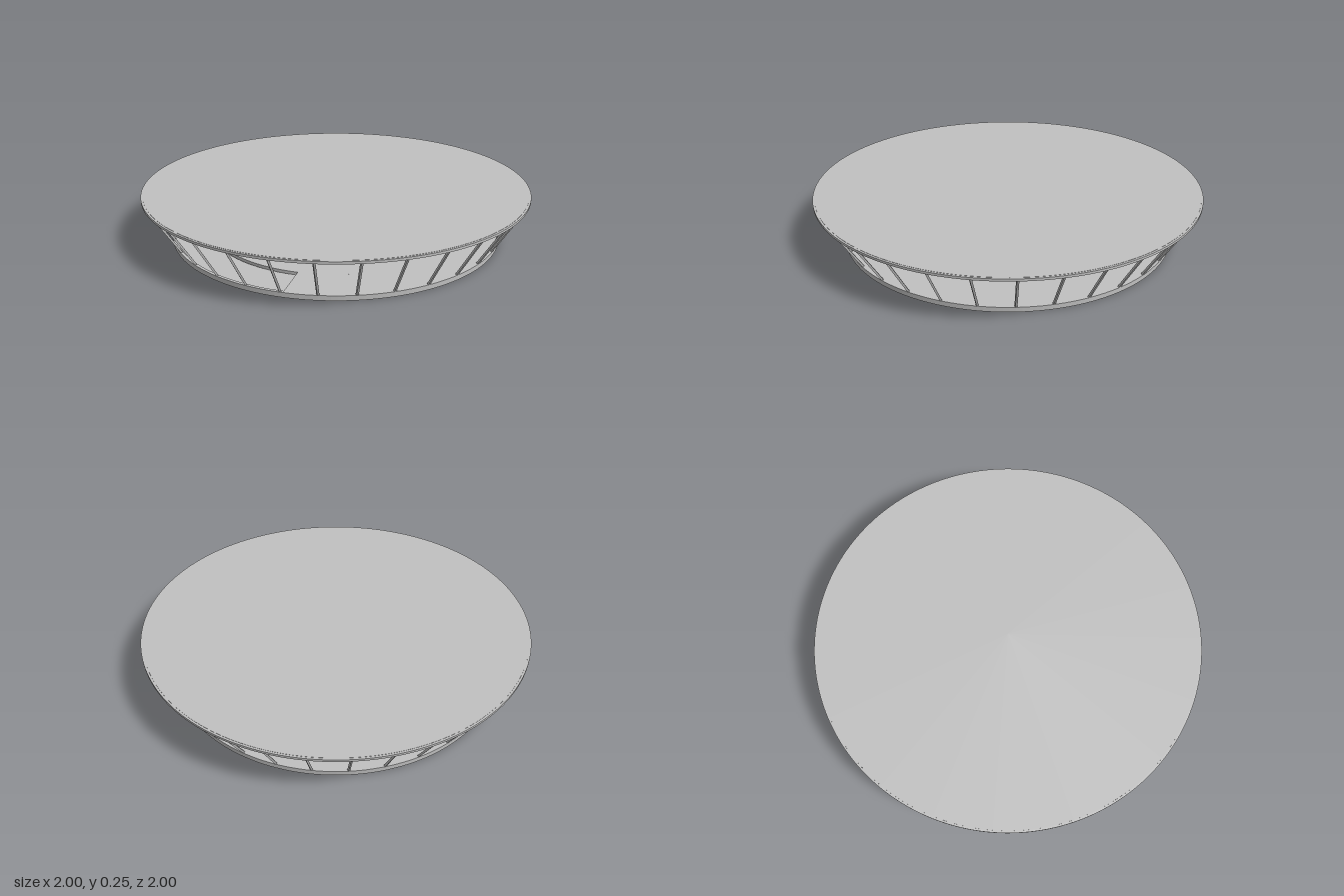
import * as THREE from 'three';

const DEG = Math.PI / 180;

export function createModel() {
  const model = new THREE.Group();
  const grey = new THREE.MeshStandardMaterial({ color: 0xc0c0c0, side: THREE.DoubleSide });
  grey.name = 'light grey';

  function add(name, geometry, parent = model) {
    const mesh = new THREE.Mesh(geometry, grey);
    mesh.name = name;
    parent.add(mesh);
    return mesh;
  }

  // Flat ring or ring sector; angles in degrees from +x towards +z
  function ring(name, ri, ro, y0, y1, a0 = 0, a1 = 360) {
    const shape = new THREE.Shape();
    if (a1 - a0 >= 360) {
      shape.absarc(0, 0, ro, 0, Math.PI * 2, false);
      const hole = new THREE.Path();
      hole.absarc(0, 0, ri, 0, Math.PI * 2, true);
      shape.holes.push(hole);
    } else {
      shape.absarc(0, 0, ro, a0 * DEG, a1 * DEG, false);
      shape.absarc(0, 0, ri, a1 * DEG, a0 * DEG, true);
      shape.closePath();
    }
    const geometry = new THREE.ExtrudeGeometry(shape, { depth: y1 - y0, bevelEnabled: false, curveSegments: 96 });
    geometry.rotateX(Math.PI / 2).translate(0, y1, 0);
    return add(name, geometry);
  }

  function disc(name, r, y0, y1) {
    return add(name, new THREE.CylinderGeometry(r, r, y1 - y0, 128).translate(0, (y0 + y1) / 2, 0));
  }

  // Straight square bar between two points
  function bar(name, from, to, width, parent) {
    const dir = to.clone().sub(from);
    const mesh = add(name, new THREE.BoxGeometry(width, dir.length(), width), parent);
    mesh.position.copy(from).add(to).multiplyScalar(0.5);
    mesh.quaternion.setFromUnitVectors(new THREE.Vector3(0, 1, 0), dir.normalize());
  }
  const polar = (r, y, a) => new THREE.Vector3(r * Math.cos(a), y, r * Math.sin(a));

  // Floor: central well, inner deck, outer walkway with a sunken sector, rim
  ring('wellCurb', 0.33, 0.415, 0, 0.031);
  ring('innerFloor', 0.417, 0.655, 0, 0.024);
  ring('upperWalkway', 0.655, 0.845, 0.012, 0.024, 243, 494);
  ring('sunkenWalkway', 0.66, 0.845, 0, 0.012, 134, 243);
  ring('floorRim', 0.845, 0.86, 0, 0.024);

  // Roof slab and ceiling panel over the well
  disc('roof', 0.99, 0.237, 0.25);
  ring('roofEdge', 0.99, 1, 0.237, 0.249);
  disc('ceilingPanel', 0.35, 0.219, 0.237);

  // Leaning window mullions
  const mullions = new THREE.Group();
  mullions.name = 'windowMullions';
  model.add(mullions);
  const count = 32;
  for (let i = 0; i < count; i++) {
    const a = Math.PI / 2 + (i / count) * Math.PI * 2;
    bar('mullion', polar(0.852, 0.022, a), polar(0.984, 0.239, a), 0.01, mullions);
  }

  // Round service core with a doorway gap
  const core = add('serviceCore', new THREE.CylinderGeometry(0.145, 0.145, 0.212, 64, 1, true, 300 * DEG, 325 * DEG));
  core.position.set(0.2, 0.129, -0.09);

  // Low curved counter around the well
  ring('counter', 0.365, 0.38, 0.03, 0.08, 33, 215);
  ring('counterTop', 0.35, 0.395, 0.08, 0.088, 33, 215);
  ring('backCounter', 0.34, 0.355, 0.03, 0.085, 265, 312);

  // Railing with posts
  ring('handrail', 0.388, 0.396, 0.083, 0.089, 120, 290);
  const posts = new THREE.Group();
  posts.name = 'railingPosts';
  model.add(posts);
  for (let a = 120; a <= 290; a += 10) {
    bar('post', polar(0.392, 0.03, a * DEG), polar(0.392, 0.085, a * DEG), 0.006, posts);
  }

  return model;
}
